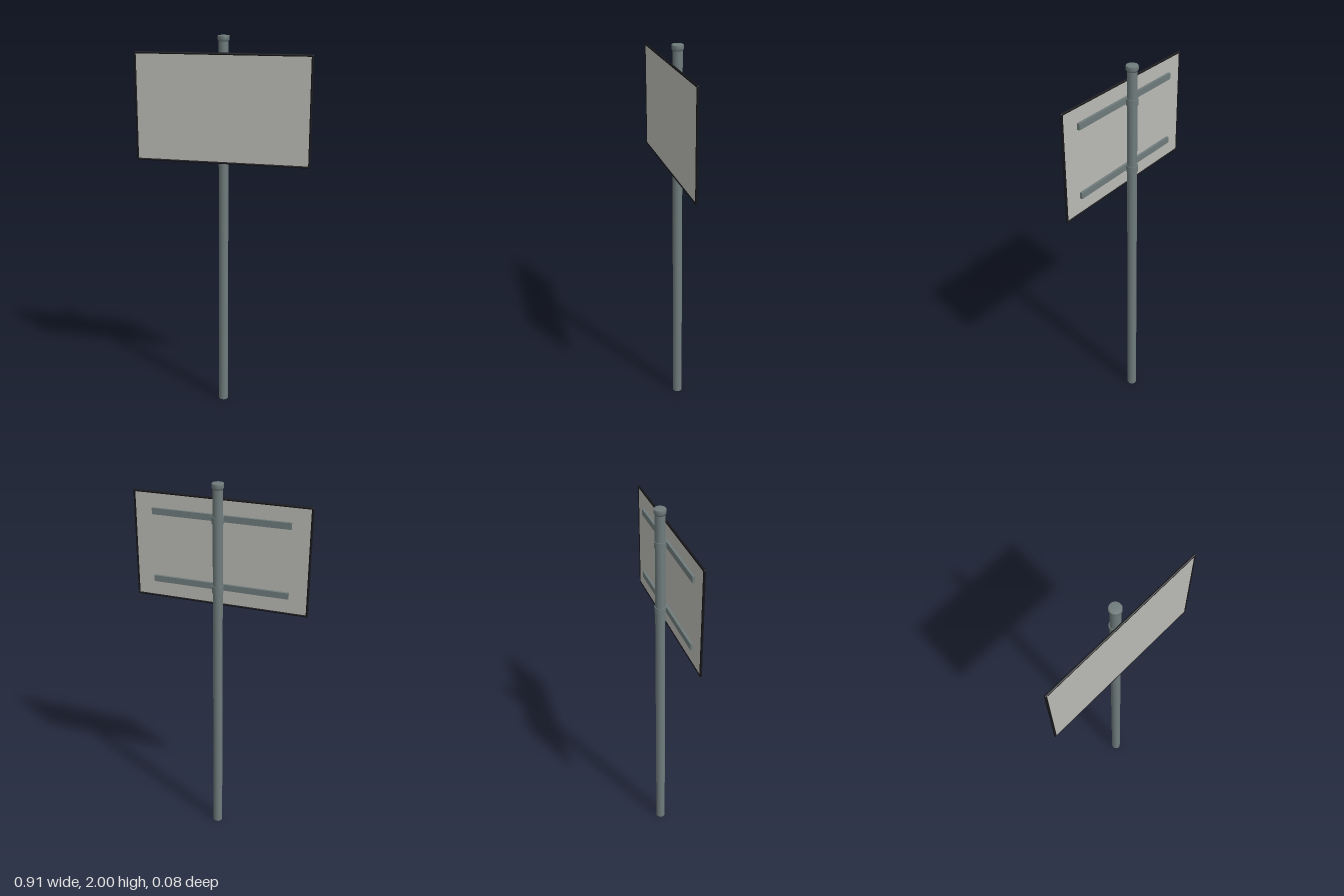
import * as THREE from 'three';

const mat = (name, color, side = THREE.FrontSide) => {
  const m = new THREE.MeshStandardMaterial({ color, side });
  m.name = name;
  return m;
};

export function createModel() {
  const group = new THREE.Group();
  const steel = mat('galvanised steel', 0x6f7b7b);
  const face = mat('panel grey', 0xb9b9b4);
  const black = mat('black edging', 0x17171a);

  const add = (name, geometry, material, x, y, z) => {
    const mesh = new THREE.Mesh(geometry, material);
    mesh.name = name;
    mesh.position.set(x, y, z);
    group.add(mesh);
    return mesh;
  };

  const poleZ = -0.01;
  const boardY = 1.64, boardZ = 0.032;
  const width = 0.9, height = 0.545, edge = 0.006;

  // Round post with a flared cap
  add('post', new THREE.CylinderGeometry(0.025, 0.025, 1.98, 32), steel, 0, 0.99, poleZ);
  const capProfile = [[0, 0], [0.025, 0], [0.03, 0.01], [0.03, 0.026], [0.028, 0.03], [0, 0.03]]
    .map(([r, y]) => new THREE.Vector2(r, y));
  add('postCap', new THREE.LatheGeometry(capProfile, 32), steel, 0, 1.97, poleZ);

  // Blank sign panel
  add('panel', new THREE.BoxGeometry(width, height, 0.006), face, 0, boardY, boardZ);

  // Rounded edging on all four sides, with small corner balls
  for (const s of [-1, 1]) {
    const rail = add('horizontalEdging', new THREE.CylinderGeometry(edge, edge, width, 12),
      black, 0, boardY + s * height / 2, boardZ);
    rail.rotation.z = Math.PI / 2;
    add('verticalEdging', new THREE.CylinderGeometry(edge, edge, height, 12),
      black, s * width / 2, boardY, boardZ);
    for (const t of [-1, 1]) {
      add('edgingCorner', new THREE.SphereGeometry(edge, 12, 8), black,
        s * width / 2, boardY + t * height / 2, boardZ);
    }
  }

  // Back rails, each held to the post by a clamp ring
  for (const y of [1.465, 1.82]) {
    add('backRail', new THREE.BoxGeometry(0.71, 0.032, 0.014), steel, 0, y, 0.023);
    add('postClamp', new THREE.CylinderGeometry(0.029, 0.029, 0.034, 32), steel, 0, y, poleZ);
  }

  return group;
}
